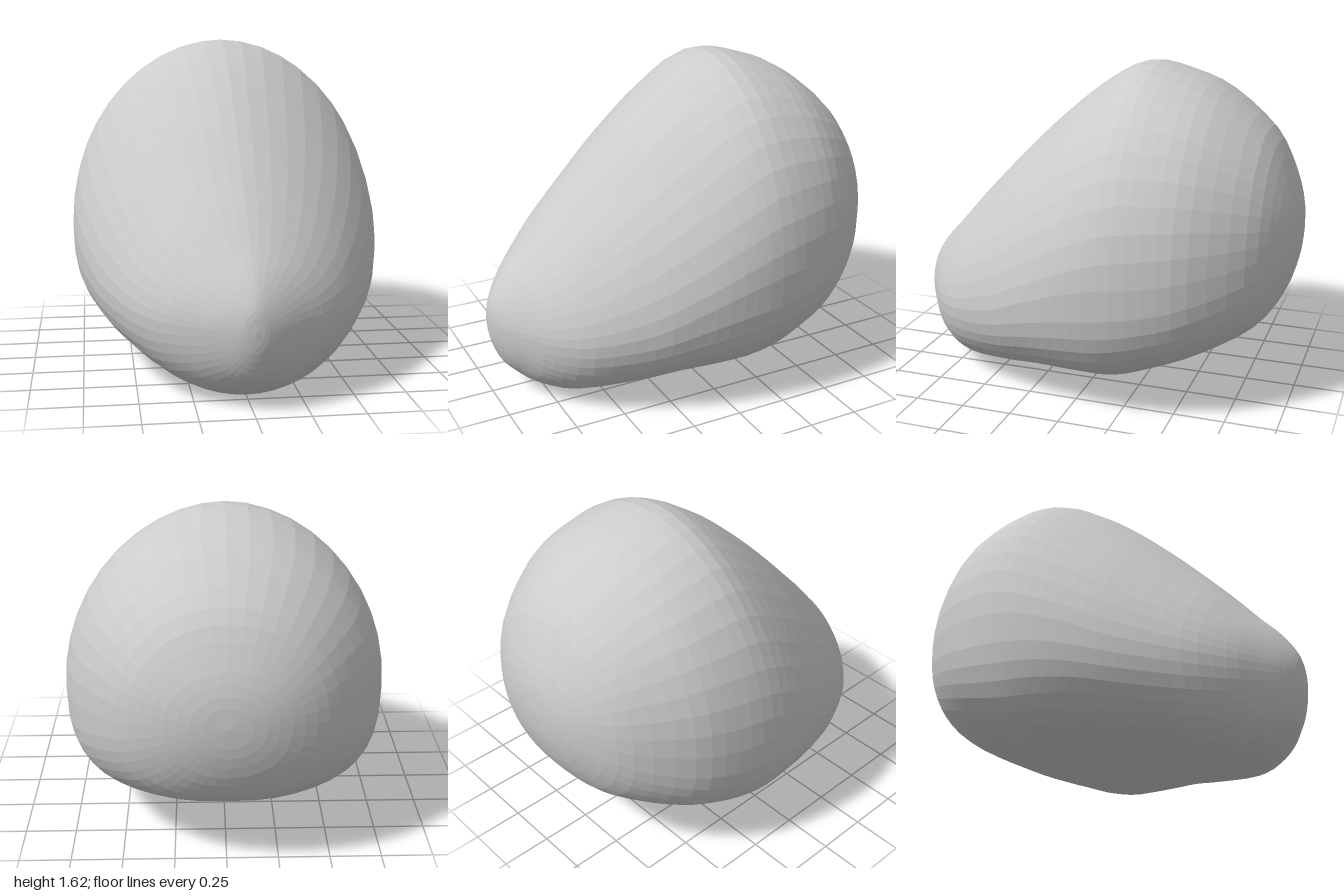
import * as THREE from 'three';

// Cross-sections from back to front: z, half width, height of widest point, top, bottom, underside squareness
const STATIONS = [
  [-1.0, 0, 0.83, 0.83, 0.83, 2],
  [-0.985, 0.17, 0.83, 0.98, 0.68, 2.1],
  [-0.93, 0.34, 0.82, 1.14, 0.51, 2.3],
  [-0.82, 0.51, 0.79, 1.33, 0.365, 2.6],
  [-0.6, 0.685, 0.75, 1.505, 0.245, 2.8],
  [-0.4, 0.76, 0.72, 1.59, 0.165, 2.85],
  [-0.2, 0.79, 0.70, 1.62, 0.095, 2.8],
  [0, 0.78, 0.65, 1.515, 0.08, 2.65],
  [0.2, 0.735, 0.57, 1.355, 0.07, 2.45],
  [0.4, 0.66, 0.48, 1.165, 0.035, 2.2],
  [0.65, 0.52, 0.41, 0.905, 0, 2],
  [0.8, 0.38, 0.39, 0.735, 0.045, 2],
  [0.89, 0.25, 0.39, 0.64, 0.11, 2],
  [0.95, 0.15, 0.39, 0.56, 0.18, 2],
  [0.99, 0.06, 0.39, 0.48, 0.29, 2],
  [1.0, 0, 0.39, 0.39, 0.39, 2],
];
const RINGS = 45, SIDES = 44;

// Smooth curve through three columns of the stations
const curveOf = (a, b, c) => new THREE.CatmullRomCurve3(
  STATIONS.map((s) => new THREE.Vector3(s[a], s[b], s[c])), false, 'catmullrom', 0.5);

function bodyGeometry() {
  const plan = curveOf(0, 1, 2), profile = curveOf(3, 4, 5);
  const positions = [], index = [];
  for (let i = 0; i <= RINGS; i++) {
    const { x: z, y: width, z: mid } = plan.getPoint(i / RINGS);
    const { x: top, y: bottom, z: underside } = profile.getPoint(i / RINGS);
    // The crown is round at the back and slightly ridged towards the front
    const crown = 2.08 - 0.34 * THREE.MathUtils.smoothstep(z, -0.6, 0.2);
    for (let j = 0; j < SIDES; j++) {
      const a = (j / SIDES) * Math.PI * 2;
      const c = Math.cos(a), s = Math.sin(a);
      const power = 2 / (s > 0 ? crown : underside);
      const x = Math.sign(c) * Math.abs(c) ** power * width;
      const y = mid + Math.sign(s) * Math.abs(s) ** power * (s > 0 ? top - mid : mid - bottom);
      positions.push(x, y, z);
    }
  }
  for (let i = 0; i < RINGS; i++) {
    for (let j = 0; j < SIDES; j++) {
      const a = i * SIDES + j, b = i * SIDES + ((j + 1) % SIDES);
      const c = a + SIDES, d = b + SIDES;
      // The end rings close to a point
      if (i > 0) index.push(a, b, c);
      if (i < RINGS - 1) index.push(b, d, c);
    }
  }
  const geometry = new THREE.BufferGeometry();
  geometry.setAttribute('position', new THREE.Float32BufferAttribute(positions, 3));
  geometry.setIndex(index);
  geometry.computeVertexNormals();
  return geometry;
}

export function createModel() {
  const group = new THREE.Group();
  group.name = 'roundedStone';
  const body = new THREE.Mesh(
    bodyGeometry(),
    new THREE.MeshStandardMaterial({ color: 0xcccccc, flatShading: true }),
  );
  body.name = 'stoneBody';
  group.add(body);
  return group;
}
